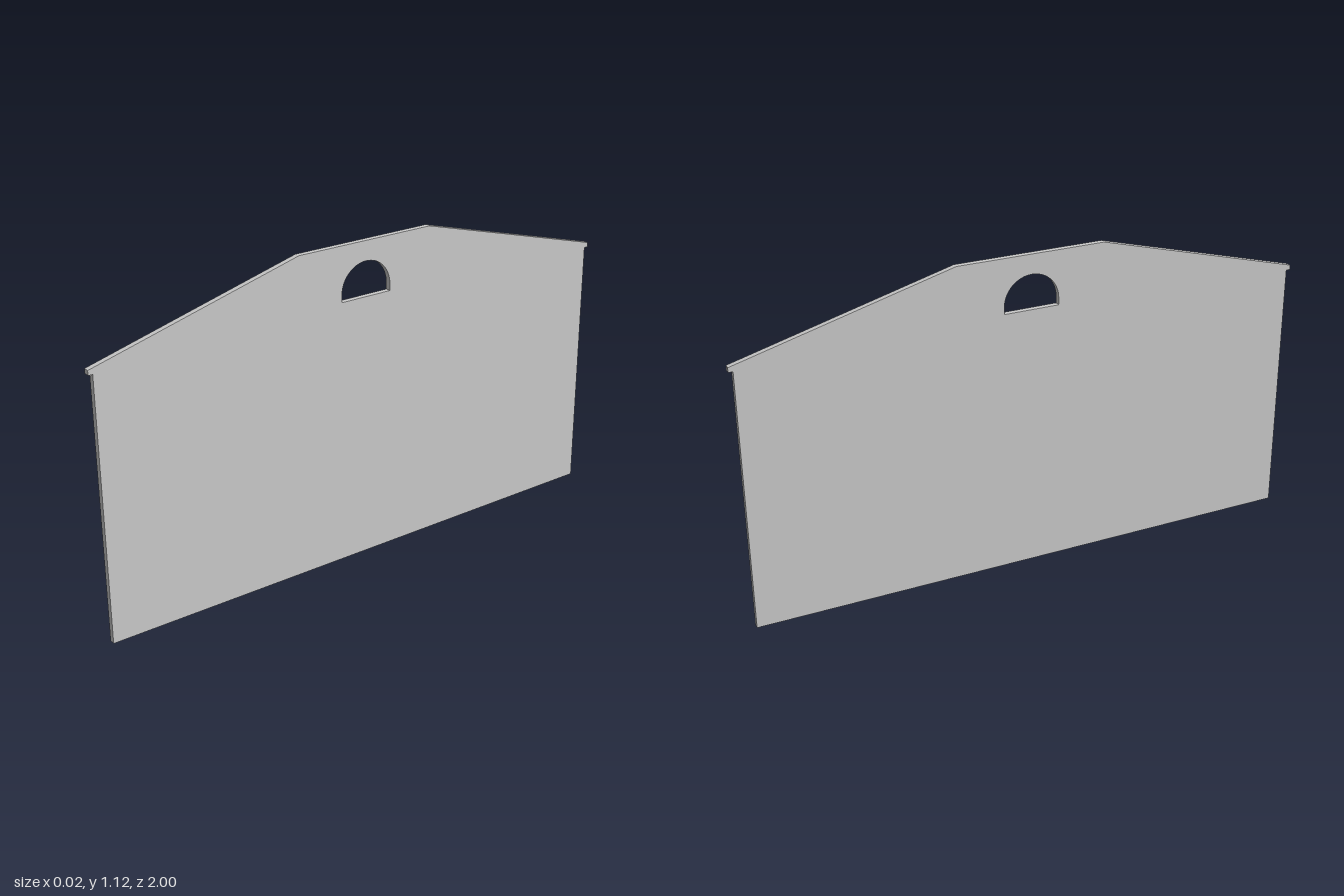
import * as THREE from 'three';

export function createModel() {
  const group = new THREE.Group();
  const thickness = 0.02;

  // Gable outline: one half, mirrored for the other
  const half = [[0.985, 0], [0.985, 0.905], [1, 0.905], [1, 0.921], [0.26, 1.119]];
  const mirrored = half.map(([u, y]) => [-u, y]).reverse();
  const outline = new THREE.Shape([...half, ...mirrored].map(([u, y]) => new THREE.Vector2(u, y)));

  // Arched window opening
  const r = 0.097, sill = 0.93, spring = 0.954;
  const arch = new THREE.Path();
  arch.moveTo(-r, sill);
  arch.lineTo(r, sill);
  arch.lineTo(r, spring);
  arch.absarc(0, spring, r, 0, Math.PI, false);
  arch.lineTo(-r, sill);
  outline.holes.push(arch);

  // Thin panel, turned to lie in the y-z plane
  const geometry = new THREE.ExtrudeGeometry(outline, {
    depth: thickness, bevelEnabled: false, curveSegments: 16,
  });
  geometry.translate(0, 0, -thickness / 2);
  geometry.rotateY(Math.PI / 2);

  const wall = new THREE.Mesh(geometry, new THREE.MeshStandardMaterial({ color: 0xcccccc }));
  wall.name = 'gableWall';
  group.add(wall);
  return group;
}
